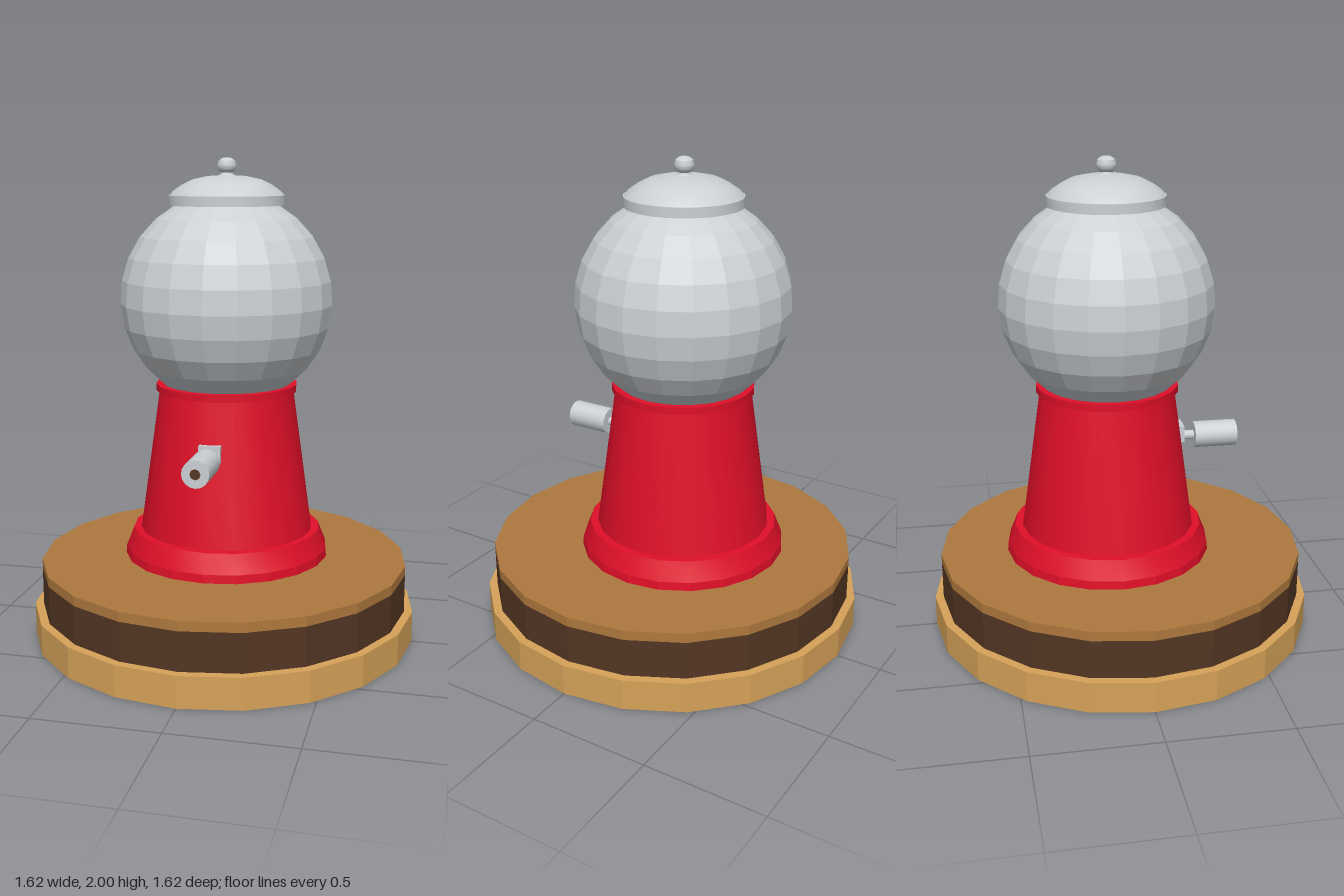
import * as THREE from 'three';
import { toCreasedNormals } from 'three/addons/utils/BufferGeometryUtils.js';

const mat = (name, color) => {
  const m = new THREE.MeshStandardMaterial({ color });
  m.name = name;
  return m;
};

export function createModel() {
  const tan = mat('tan wood', 0xd6a258);
  const brown = mat('brown wood', 0xae783d);
  const dark = mat('dark wood', 0x533623);
  const red = mat('red enamel', 0xe00f28);
  const grey = mat('pale grey', 0xcbd0d4);

  const model = new THREE.Group();
  model.name = 'gumballMachine';
  const machine = new THREE.Group();
  machine.name = 'machine';
  machine.position.z = -0.055;
  model.add(machine);

  const add = (parent, name, geometry, material) => {
    const mesh = new THREE.Mesh(geometry, material);
    mesh.name = name;
    parent.add(mesh);
    return mesh;
  };
  // Turned part from [radius, y] pairs, bottom to top; edges sharper than crease stay hard
  const turned = (points, sides, crease) => toCreasedNormals(
    new THREE.LatheGeometry(points.map(([r, y]) => new THREE.Vector2(r, y)), sides), crease);
  const FLAT = 0.02, SOFT = 0.6;

  // Stepped wooden plinth
  const slab = (r, y0, y1) => turned([[0, y0], [r, y0], [r, y1], [0, y1]], 20, FLAT);
  add(model, 'plinthFoot', slab(0.81, 0, 0.13), tan);
  add(model, 'plinthBand', slab(0.775, 0.13, 0.29), dark);
  add(model, 'plinthTop', slab(0.775, 0.29, 0.33), brown);

  // Red pedestal: rounded foot, tapered column, collar
  add(machine, 'pedestalFoot', turned(
    [[0, 0.33], [0.435, 0.33], [0.432, 0.365], [0.415, 0.405], [0.4, 0.445], [0, 0.445]], 20, 0.3), red);
  add(machine, 'pedestalColumn', turned([[0.368, 0.44], [0.283, 1.045]], 20, SOFT), red);
  add(machine, 'pedestalCollar', turned(
    [[0.27, 1.04], [0.297, 1.04], [0.297, 1.07], [0, 1.07]], 20, SOFT), red);

  // Faceted globe, cut flat at both ends
  const globe = [[0, 1.068]];
  const a0 = -0.925, a1 = 1.07;
  for (let i = 0; i <= 9; i++) {
    const a = a0 + (a1 - a0) * i / 9;
    globe.push([0.442 * Math.cos(a), 1.422 + 0.442 * Math.sin(a)]);
  }
  globe.push([0, 1.81]);
  add(machine, 'globe', turned(globe, 20, FLAT), grey);

  // Lid with rim, dome and finial
  add(machine, 'lidRim', turned(
    [[0, 1.808], [0.24, 1.808], [0.24, 1.848], [0, 1.848]], 28, SOFT), grey);
  add(machine, 'lidDome', turned(
    [[0.236, 1.848], [0.22, 1.866], [0.185, 1.89], [0.14, 1.912], [0.08, 1.925], [0, 1.93]], 28, SOFT), grey);
  add(machine, 'finial', turned(
    [[0.036, 1.926], [0.027, 1.932], [0.025, 1.938], [0.037, 1.95], [0.041, 1.966],
      [0.035, 1.986], [0.02, 1.997], [0, 2]], 16, SOFT), grey);

  // Dispensing handle pointing forward
  const handle = new THREE.Group();
  handle.name = 'handle';
  handle.position.set(0, 0.812, 0);
  model.add(handle);
  const rod = (name, r, z0, z1, sides) => {
    const g = new THREE.CylinderGeometry(r, r, z1 - z0, sides).rotateX(Math.PI / 2);
    add(handle, name, g, grey).position.z = (z0 + z1) / 2;
  };
  rod('handleStem', 0.02, 0.24, 0.33, 10);
  rod('handleGrip', 0.056, 0.318, 0.5, 16);
  add(handle, 'handlePlate', new THREE.BoxGeometry(0.09, 0.07, 0.03), grey).position.set(0, 0.02, 0.255);
  add(handle, 'gripHole', new THREE.CircleGeometry(0.022, 8), dark).position.z = 0.502;

  return model;
}
